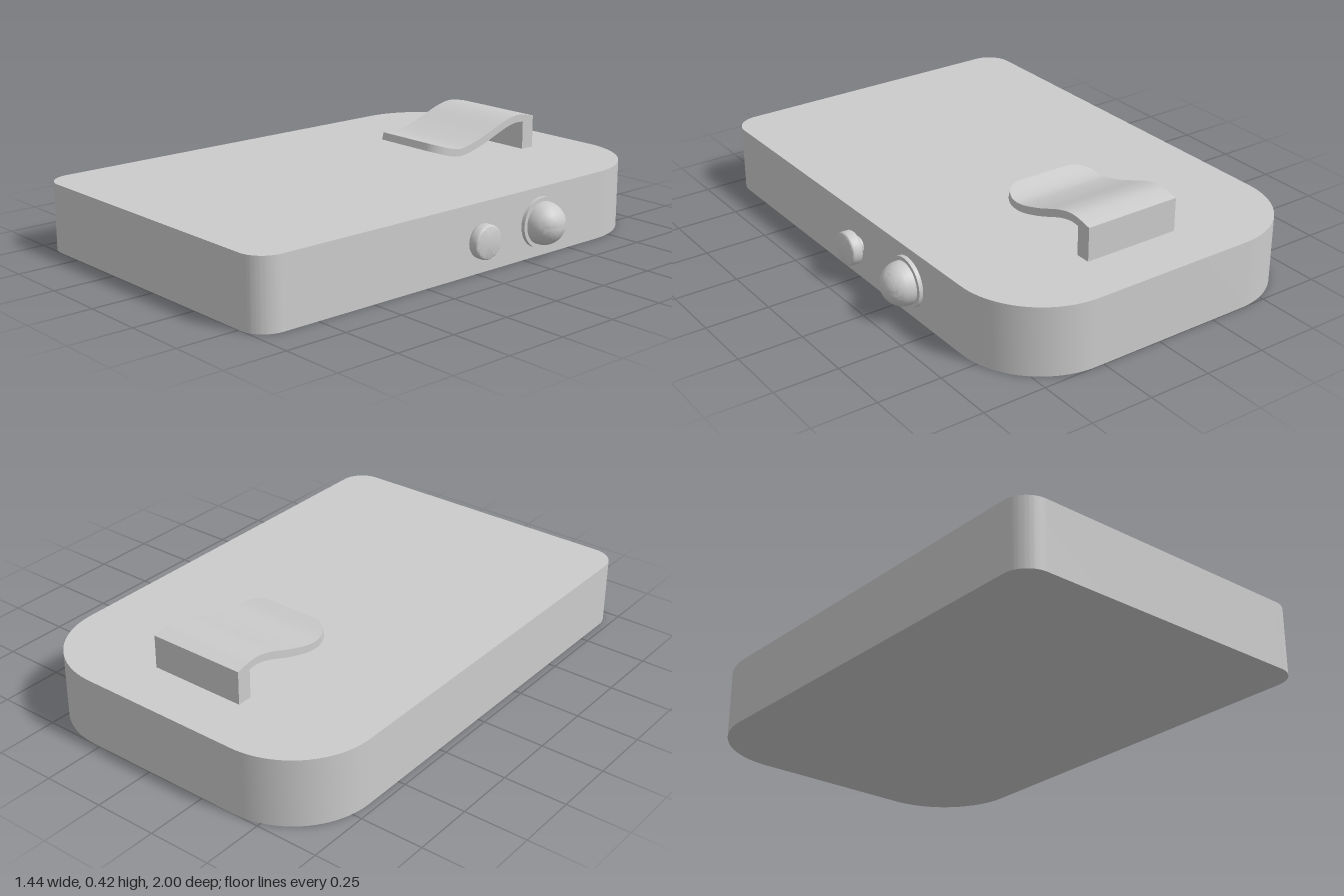
import * as THREE from 'three';
import { toCreasedNormals } from 'three/addons/utils/BufferGeometryUtils.js';

const material = new THREE.MeshStandardMaterial({ color: 0xcccccc });
const CREASE = 0.6;

function addMesh(parent, name, geometry) {
  const mesh = new THREE.Mesh(toCreasedNormals(geometry, CREASE), material);
  mesh.name = name;
  parent.add(mesh);
  return mesh;
}

// Flat case: large radii at the back corners, small ones at the front
function caseGeometry() {
  const x0 = -0.72, x1 = 0.61, big = 0.33, small = 0.1;
  const s = new THREE.Shape();
  s.moveTo(x0 + small, -1);
  s.lineTo(x1 - small, -1);
  s.absarc(x1 - small, -1 + small, small, -Math.PI / 2, 0);
  s.lineTo(x1, 1 - big);
  s.absarc(x1 - big, 1 - big, big, 0, Math.PI / 2);
  s.lineTo(x0 + big, 1);
  s.absarc(x0 + big, 1 - big, big, Math.PI / 2, Math.PI);
  s.lineTo(x0, -1 + small);
  s.absarc(x0 + small, -1 + small, small, Math.PI, Math.PI * 1.5);
  const g = new THREE.ExtrudeGeometry(s, { depth: 0.27, bevelEnabled: false, curveSegments: 12 });
  return g.rotateX(-Math.PI / 2);
}

// Curved spring strip swept along z, its free end rounded in plan
function stripGeometry(cx, halfWidth, thickness, radius) {
  const curve = new THREE.SplineCurve([
    [-0.785, 0.402], [-0.7, 0.417], [-0.62, 0.404], [-0.5, 0.36],
    [-0.4, 0.332], [-0.34, 0.331], [-0.264, 0.352],
  ].map(([z, y]) => new THREE.Vector2(z, y)));
  const n = 48, endZ = -0.264, pos = [], rings = [];
  for (let i = 0; i <= n; i++) {
    // Stations crowd together toward the rounded tip
    const t = Math.sin((i / n) * Math.PI / 2);
    const p = curve.getPoint(t), d = curve.getTangent(t);
    if (i === 0) d.set(1, 0);
    const inset = Math.min(radius, Math.max(0, p.x - (endZ - radius)));
    const w = halfWidth - radius + Math.sqrt(radius * radius - inset * inset);
    const bz = p.x + d.y * thickness, by = p.y - d.x * thickness;
    rings.push([[cx - w, p.y, p.x], [cx + w, p.y, p.x], [cx + w, by, bz], [cx - w, by, bz]]);
  }
  const quad = (a, b, c, d) => pos.push(...a, ...b, ...c, ...a, ...c, ...d);
  for (let i = 0; i < n; i++) {
    for (let k = 0; k < 4; k++) {
      const m = (k + 1) % 4;
      quad(rings[i][k], rings[i + 1][k], rings[i + 1][m], rings[i][m]);
    }
  }
  quad(...rings[0]);
  quad(...rings[n].slice().reverse());
  const g = new THREE.BufferGeometry();
  g.setAttribute('position', new THREE.Float32BufferAttribute(pos, 3));
  g.computeVertexNormals();
  return g;
}

// Turned part whose axis points out of the +x side; points are [radius, distance]
function turned(points) {
  const g = new THREE.LatheGeometry(points.map(([r, d]) => new THREE.Vector2(r, d)), 40);
  return g.rotateZ(-Math.PI / 2);
}

export function createModel() {
  const model = new THREE.Group();
  model.name = 'clipOnDevice';
  addMesh(model, 'case', caseGeometry());

  // Spring clip on the top face
  const clip = new THREE.Group();
  clip.name = 'clip';
  model.add(clip);
  const cx = -0.0425, halfWidth = 0.1975;
  addMesh(clip, 'clipSpring', stripGeometry(cx, halfWidth, 0.03, 0.09));
  const post = new THREE.BoxGeometry(halfWidth * 2, 0.125, 0.06);
  addMesh(clip, 'clipPost', post).position.set(cx, 0.3225, -0.755);

  // Domed button with its flange
  const dome = new THREE.Group();
  dome.name = 'domeButton';
  dome.position.set(0.61, 0.135, -0.335);
  model.add(dome);
  addMesh(dome, 'flange', turned([[0, 0], [0.098, 0], [0.098, 0.016], [0, 0.016]]));
  const domePoints = [[0.083, 0.01]];
  for (let i = 0; i <= 16; i++) {
    const a = (i / 16) * Math.PI / 2;
    domePoints.push([0.083 * Math.cos(a), 0.024 + 0.083 * Math.sin(a)]);
  }
  addMesh(dome, 'dome', turned(domePoints));

  // Small push button on a stem, with softened rims
  const push = new THREE.Group();
  push.name = 'pushButton';
  push.position.set(0.61, 0.135, 0);
  model.add(push);
  addMesh(push, 'stem', turned([[0.033, 0], [0.033, 0.025]]));
  const r = 0.066, e = 0.012, head = [[0, 0.02]];
  for (const [y, start] of [[0.02 + e, -Math.PI / 2], [0.066 - e, 0]]) {
    for (let i = 0; i <= 4; i++) {
      const a = start + (i / 4) * Math.PI / 2;
      head.push([r - e + e * Math.cos(a), y + e * Math.sin(a)]);
    }
  }
  head.push([0, 0.066]);
  addMesh(push, 'head', turned(head));

  return model;
}
